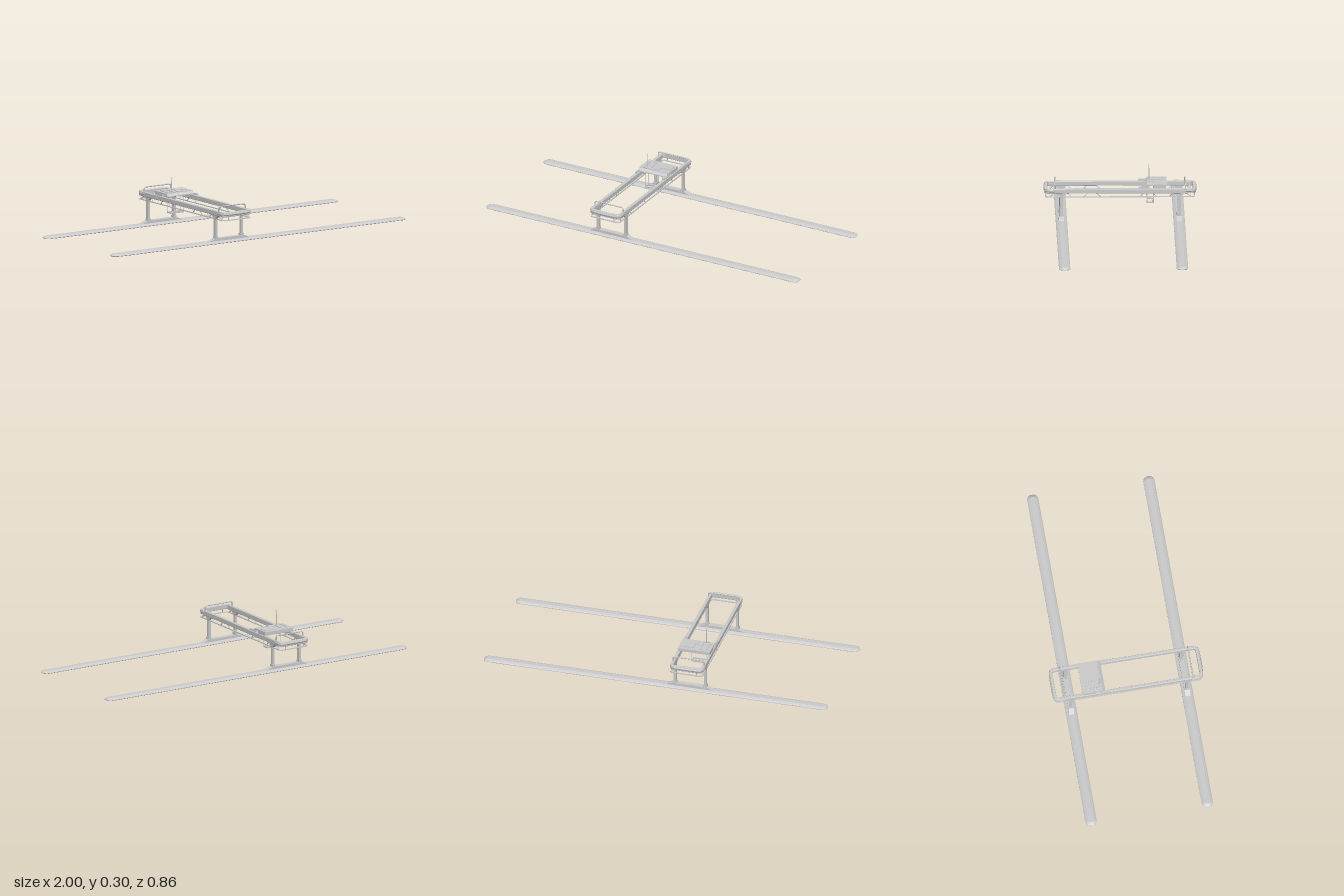
import * as THREE from 'three';

const mat = new THREE.MeshStandardMaterial({ color: 0xcccccc, side: THREE.DoubleSide });
const CX = -0.2; // the gantry stands off-centre along the rails

function add(parent, name, geo, x = 0, y = 0, z = 0) {
  const m = new THREE.Mesh(geo, mat);
  m.name = name;
  m.position.set(x, y, z);
  parent.add(m);
  return m;
}
const box = (p, name, w, h, d, x, y, z) => add(p, name, new THREE.BoxGeometry(w, h, d), x, y, z);

// Straight round bar between two points
function bar(parent, name, a, b, r = 0.0025) {
  const path = new THREE.LineCurve3(new THREE.Vector3(...a), new THREE.Vector3(...b));
  return add(parent, name, new THREE.TubeGeometry(path, 1, r, 8));
}

function roundedRect(hx, hy, r, Type = THREE.Shape) {
  const s = new Type();
  s.absarc(hx - r, hy - r, r, 0, Math.PI / 2);
  s.absarc(-hx + r, hy - r, r, Math.PI / 2, Math.PI);
  s.absarc(-hx + r, -hy + r, r, Math.PI, Math.PI * 1.5);
  s.absarc(hx - r, -hy + r, r, Math.PI * 1.5, Math.PI * 2);
  s.closePath();
  return s;
}

// Flat rounded ring or plate lying in xz, from y0 to y1
function plate(hx, hz, r, width, y0, y1, bevel) {
  const s = roundedRect(hx - bevel, hz - bevel, r);
  if (width) s.holes.push(roundedRect(hx - width + bevel, hz - width + bevel, Math.max(r - width / 2, 0.004), THREE.Path));
  const g = new THREE.ExtrudeGeometry(s, {
    depth: y1 - y0 - 2 * bevel, bevelEnabled: bevel > 0, bevelSize: bevel,
    bevelThickness: bevel, bevelSegments: 2, curveSegments: 8,
  });
  return g.rotateX(Math.PI / 2).translate(0, y1 - bevel, 0);
}

// Rail: stacked rounded outlines, each [inset, y], closed above and below
function railGeometry() {
  const steps = [[0.003, 0], [0, 0.002], [0, 0.005], [0.005, 0.009], [0.013, 0.012], [0.017, 0.014]];
  const pos = [], idx = [];
  let n = 0;
  steps.forEach(([inset, y]) => {
    const pts = roundedRect(1 - inset, 0.032 - inset, 0.028 - inset).getPoints(8);
    n = pts.length;
    pts.forEach(p => pos.push(p.x, y, -p.y));
  });
  for (let j = 0; j < steps.length - 1; j++) {
    for (let i = 0; i < n; i++) {
      const a = j * n + i, b = j * n + (i + 1) % n;
      idx.push(a, b, b + n, a, b + n, a + n);
    }
  }
  const top = (steps.length - 1) * n;
  for (let i = 1; i < n - 1; i++) {
    idx.push(0, i + 1, i, top, top + i, top + i + 1);
  }
  const g = new THREE.BufferGeometry();
  g.setAttribute('position', new THREE.Float32BufferAttribute(pos, 3));
  g.setIndex(idx);
  const flat = g.toNonIndexed();
  flat.computeVertexNormals();
  return flat;
}

// Outline extruded and centred on its depth; sideways puts the outline in zy
function slab(points, depth, sideways) {
  const s = new THREE.Shape(points.map(p => new THREE.Vector2(...p)));
  const g = new THREE.ExtrudeGeometry(s, { depth, bevelEnabled: false }).translate(0, 0, -depth / 2);
  return sideways ? g.rotateY(-Math.PI / 2) : g;
}

export function createModel() {
  const model = new THREE.Group();
  model.name = 'gantryCrane';
  const rail = railGeometry();
  const gantry = new THREE.Group();
  gantry.name = 'gantry';
  gantry.position.x = CX;
  model.add(gantry);

  // Leg with arms spreading under the beam
  const leg = slab([[-0.009, 0.025], [0.009, 0.025], [0.009, 0.142], [0.015, 0.148], [0.035, 0.162],
    [0.041, 0.168], [-0.041, 0.168], [-0.035, 0.162], [-0.015, 0.148], [-0.009, 0.142]], 0.014, true);
  const bogie = slab([[-0.135, 0.012], [0.135, 0.012], [0.132, 0.016], [0.1, 0.029],
    [-0.1, 0.029], [-0.132, 0.016]], 0.03);

  for (const z of [0.33, -0.33]) {
    add(model, 'rail', rail, 0, 0, z);
    add(gantry, 'bogie', bogie, 0, 0, z);
    for (const x of [0.088, -0.088]) {
      add(gantry, 'leg', leg, x, 0, z);
      box(gantry, 'legShoe', 0.02, 0.02, 0.024, x, 0.03, z);
      // Wheel axle boss
      const boss = add(gantry, 'axleBoss', new THREE.CylinderGeometry(0.005, 0.005, 0.02, 12), x, 0.034, z);
      boss.rotation.z = Math.PI / 2;
    }
  }

  // Upper beam loop and its thicker rounded ends
  add(gantry, 'beamFrame', plate(0.097, 0.424, 0.024, 0.017, 0.16, 0.187, 0.003));
  for (const s of [1, -1]) {
    const bow = new THREE.CatmullRomCurve3([[-0.09, 0.36], [-0.09, 0.4], [-0.082, 0.414], [-0.068, 0.418],
      [0.068, 0.418], [0.082, 0.414], [0.09, 0.4], [0.09, 0.36]].map(([x, z]) => new THREE.Vector3(x, 0.175, s * z)));
    add(gantry, 'endBumper', new THREE.TubeGeometry(bow, 40, 0.009, 8));

    // Hoop over each end
    const z = s * 0.365;
    const hoop = new THREE.CurvePath();
    const P = (x, y) => new THREE.Vector3(x, y, z);
    hoop.add(new THREE.LineCurve3(P(-0.09, 0.18), P(-0.09, 0.2)));
    hoop.add(new THREE.QuadraticBezierCurve3(P(-0.09, 0.2), P(-0.09, 0.213), P(-0.077, 0.213)));
    hoop.add(new THREE.LineCurve3(P(-0.077, 0.213), P(0.077, 0.213)));
    hoop.add(new THREE.QuadraticBezierCurve3(P(0.077, 0.213), P(0.09, 0.213), P(0.09, 0.2)));
    hoop.add(new THREE.LineCurve3(P(0.09, 0.2), P(0.09, 0.18)));
    add(gantry, 'endHoop', new THREE.TubeGeometry(hoop, 60, 0.0035, 8));
  }

  // Lower loop hung on struts
  add(gantry, 'lowerFrame', plate(0.095, 0.42, 0.022, 0.007, 0.138, 0.143, 0));
  for (const x of [0.09, -0.09]) {
    for (const s of [1, -1]) {
      bar(gantry, 'endPost', [x, 0.14, s * 0.395], [x, 0.165, s * 0.395]);
      for (const [low, high] of [[0.395, 0.37], [0.272, 0.295], [0.206, 0.18], [0.108, 0.135]]) {
        bar(gantry, 'strut', [x, 0.14, s * low], [x, 0.164, s * high]);
      }
    }
  }
  for (const s of [1, -1]) {
    for (const x of [0.06, -0.06]) bar(gantry, 'endPost', [x, 0.14, s * 0.417], [x, 0.165, s * 0.417]);
  }

  // Trolley: chassis, deck, sloped front apron and machinery
  const trolley = new THREE.Group();
  trolley.name = 'trolley';
  gantry.add(trolley);
  box(trolley, 'chassis', 0.186, 0.018, 0.07, 0, 0.196, -0.22);
  box(trolley, 'deck', 0.186, 0.006, 0.112, 0, 0.206, -0.206);
  add(trolley, 'apron', slab([[-0.165, 0.19], [-0.132, 0.19], [-0.132, 0.195], [-0.152, 0.208],
    [-0.165, 0.208]], 0.18, true));
  for (const x of [0.09, -0.09]) box(trolley, 'guideArm', 0.012, 0.007, 0.06, x, 0.193, -0.133);
  add(trolley, 'hoistDrum', plate(0.024, 0.05, 0.022, 0.008, 0.207, 0.213, 0.001), -0.05, 0, -0.198);
  box(trolley, 'machineHousing', 0.075, 0.004, 0.05, 0.045, 0.21, -0.215);
  box(trolley, 'controlBox', 0.03, 0.004, 0.035, 0.01, 0.21, -0.175);
  bar(trolley, 'antenna', [-0.046, 0.2, -0.161], [-0.046, 0.297, -0.161], 0.0015);
  bar(trolley, 'antennaSleeve', [-0.046, 0.2, -0.163], [-0.046, 0.272, -0.163], 0.0022);

  // Hoist cables and lifting spreader
  for (const x of [-0.055, 0.032]) {
    for (const z of [-0.152, -0.187]) bar(trolley, 'cable', [x, 0.092, z], [x, 0.205, z], 0.0014);
  }
  add(trolley, 'spreader', plate(0.046, 0.02, 0.004, 0.006, 0.09, 0.097, 0), -0.0115, 0, -0.1695);
  return model;
}
